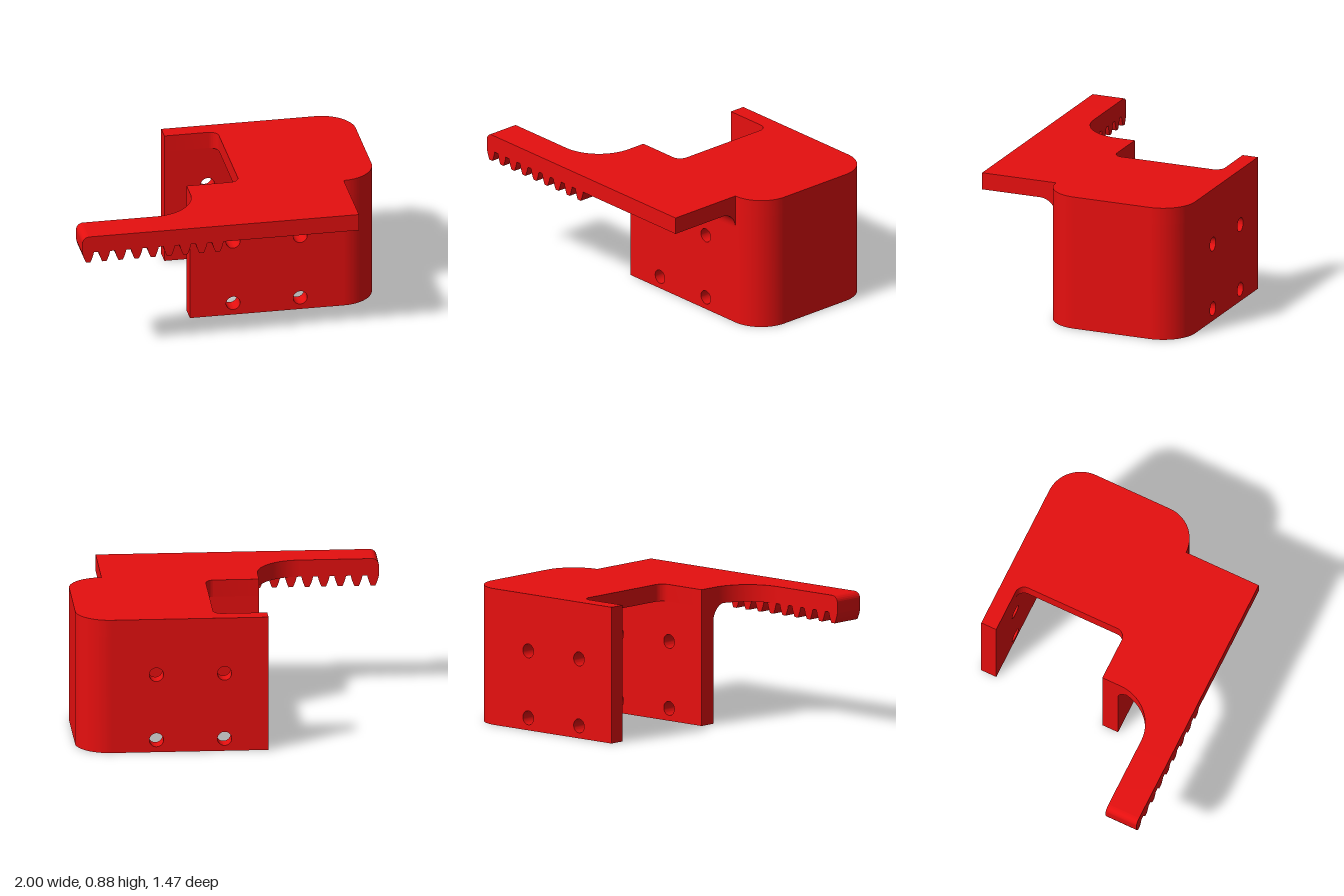
import * as THREE from 'three';
import { toCreasedNormals } from 'three/addons/utils/BufferGeometryUtils.js';

const H = 0.875;       // overall height
const UNDER = 0.765;   // underside of the top plate
const Q = Math.PI / 2;

export function createModel() {
  const group = new THREE.Group();
  const material = new THREE.MeshStandardMaterial({ color: 0xe60f0f });

  const extrude = (shape, depth) =>
    new THREE.ExtrudeGeometry(shape, { depth, bevelEnabled: false, curveSegments: 20 });
  const add = (name, geometry) => {
    const mesh = new THREE.Mesh(toCreasedNormals(geometry, 0.5), material);
    mesh.name = name;
    group.add(mesh);
  };
  // Plan shapes are drawn as (x, -z) and raised from y0 to y1
  const addPlan = (name, shape, y0, y1) =>
    add(name, extrude(shape, y1 - y0).rotateX(-Q).translate(0, y0, 0));

  // Rounded outer end shared by the plate and the end wall
  const outerEnd = (s) => {
    s.lineTo(0.78, 0.735);
    s.absarc(0.78, 0.515, 0.22, Q, 0, true);
    s.absarc(0.78, -0.005, 0.22, 0, -Q, true);
  };
  // Inner slot end with small rounded corners, reaching x = end
  const innerEnd = (s, end) => {
    const r = 0.06;
    s.absarc(end - r, -0.115 + r, r, -Q, 0, false);
    s.absarc(end - r, 0.63 - r, r, 0, Q, false);
  };

  // Top plate with slot and curved shoulder leading to the arm
  const plate = new THREE.Shape();
  plate.moveTo(-0.21, 0.735);
  outerEnd(plate);
  plate.lineTo(0.78, -0.735);
  plate.lineTo(-0.49, -0.735);
  plate.lineTo(-0.49, -0.52);
  plate.absarc(-0.49, -0.24, 0.28, -Q, 0, false);
  plate.lineTo(-0.21, -0.115);
  innerEnd(plate, 0.13);
  plate.lineTo(-0.21, 0.63);
  addPlan('topPlate', plate, UNDER, H);

  // Thick rounded end wall
  const end = new THREE.Shape();
  end.moveTo(0.65, 0.735);
  outerEnd(end);
  end.lineTo(0.65, -0.225);
  end.lineTo(0.65, -0.115);
  innerEnd(end, 0.77);
  end.lineTo(0.65, 0.63);
  addPlan('endWall', end, 0, UNDER);

  // Two side walls, each with four screw holes
  const wall = new THREE.Shape();
  wall.moveTo(-0.21, 0);
  wall.lineTo(0.65, 0);
  wall.lineTo(0.65, UNDER);
  wall.lineTo(-0.21, UNDER);
  for (const x of [0.068, 0.5]) {
    for (const y of [0.08, 0.51]) {
      const hole = new THREE.Path();
      hole.absarc(x, y, 0.045, 0, Math.PI * 2, true);
      wall.holes.push(hole);
    }
  }
  add('frontWall', extrude(wall, 0.11).translate(0, 0, 0.115));
  add('backWall', extrude(wall, 0.105).translate(0, 0, -0.735));

  // Concave fillet between front wall and plate, drawn as (z, y)
  const fillet = new THREE.Shape();
  fillet.moveTo(0.225, UNDER);
  fillet.lineTo(0.225, 0.655);
  fillet.absarc(0.335, 0.655, 0.11, Math.PI, Q, true);
  add('wallFillet', extrude(fillet, 0.99).rotateY(-Q).translate(0.78, 0, 0));

  // Arm with a rounded upper tip
  const arm = new THREE.Shape();
  arm.moveTo(-0.49, UNDER);
  arm.lineTo(-0.49, H);
  arm.absarc(-0.955, H - 0.045, 0.045, Q, Math.PI, false);
  arm.lineTo(-1, UNDER);
  add('rackArm', extrude(arm, 0.215).translate(0, 0, 0.52));

  // Rack teeth with slightly convex flanks
  const tooth = new THREE.Shape();
  tooth.moveTo(-0.037, UNDER);
  tooth.quadraticCurveTo(-0.03, 0.73, -0.014, 0.697);
  tooth.lineTo(0.014, 0.697);
  tooth.quadraticCurveTo(0.03, 0.73, 0.037, UNDER);
  for (let i = 0; i < 9; i++) {
    add('rackTooth', extrude(tooth, 0.215).translate(-0.963 + i * 0.1043, 0, 0.52));
  }
  return group;
}
